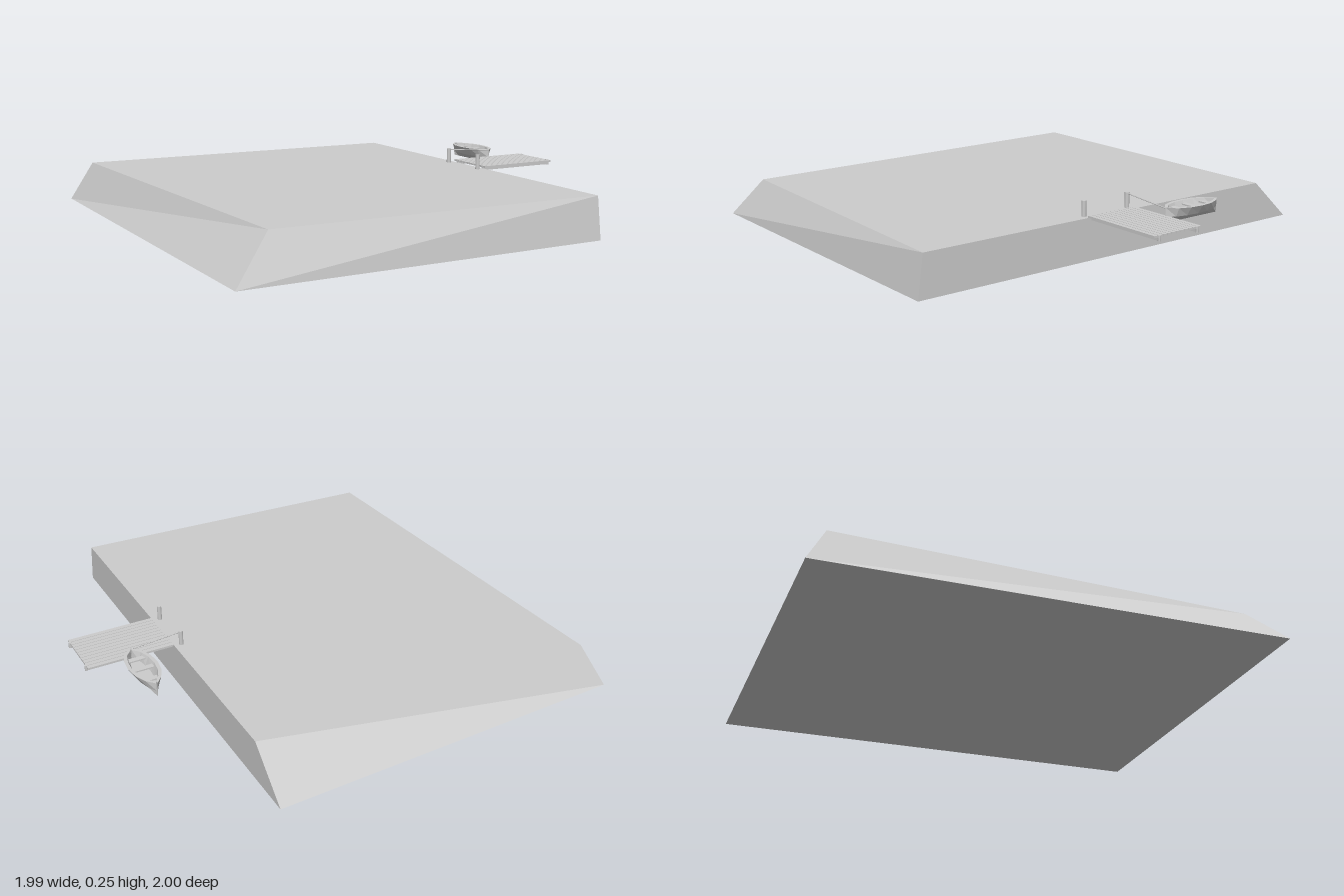
import * as THREE from 'three';

const grey = new THREE.MeshStandardMaterial({ color: 0xcccccc });
grey.name = 'plain grey';

function add(parent, name, geometry, x = 0, y = 0, z = 0) {
  const mesh = new THREE.Mesh(geometry, grey);
  mesh.name = name;
  mesh.position.set(x, y, z);
  parent.add(mesh);
  return mesh;
}

// Flat-faced skin from closed rings of [x, y, z] points
function loft(rings, caps = false) {
  const out = [];
  const tri = (...p) => p.forEach((v) => out.push(...v));
  const n = rings[0].length;
  for (let s = 0; s < rings.length - 1; s++) {
    for (let j = 0; j < n; j++) {
      const k = (j + 1) % n;
      const a = rings[s][j], b = rings[s][k], c = rings[s + 1][k], d = rings[s + 1][j];
      tri(a, b, c);
      tri(a, c, d);
    }
  }
  if (caps) {
    const first = rings[0], last = rings[rings.length - 1];
    for (let j = 1; j < n - 1; j++) {
      tri(first[0], first[j + 1], first[j]);
      tri(last[0], last[j], last[j + 1]);
    }
  }
  const g = new THREE.BufferGeometry();
  g.setAttribute('position', new THREE.Float32BufferAttribute(out, 3));
  g.computeVertexNormals();
  return g;
}

// Thin straight rod between two points
function rod(parent, name, from, to, radius) {
  const curve = new THREE.LineCurve3(new THREE.Vector3(...from), new THREE.Vector3(...to));
  add(parent, name, new THREE.TubeGeometry(curve, 1, radius, 6));
}

function createLand() {
  // Corners run front left, front right, back right, back left
  const base = [[-1, 0, 1], [0.6, 0, 1], [0.6, 0, -1], [-1, 0, -0.945]];
  const top = [[-0.835, 0.18, 0.915], [0.6, 0.18, 0.975], [0.6, 0.18, -0.8], [-0.915, 0.18, -0.86]];
  // Start from the back left so the twisted back slope folds base-left to top-right
  const flip = (r) => [r[3], r[0], r[1], r[2]];
  const g = loft([flip(base), flip(top)], true);
  const p = g.attributes.position;
  // Refold the back quad (fourth side, six vertices)
  const fold = [base[2], base[3], top[2], base[3], top[3], top[2]];
  fold.forEach((v, i) => p.setXYZ(18 + i, ...v));
  g.computeVertexNormals();
  return g;
}

function createDock() {
  const dock = new THREE.Group();
  dock.name = 'dock';
  // Planks laid side by side
  const count = 11, pitch = 0.25 / count;
  for (let i = 0; i < count; i++) {
    const z = -0.05 + pitch * (i + 0.5);
    add(dock, 'plank', new THREE.BoxGeometry(0.38, 0.008, pitch - 0.003), 0.795, 0.187, z);
  }
  // Beams under the deck and short corner piles
  for (const z of [-0.025, 0.175]) {
    add(dock, 'beam', new THREE.BoxGeometry(0.385, 0.013, 0.012), 0.7975, 0.1765, z);
    add(dock, 'pile', new THREE.CylinderGeometry(0.007, 0.007, 0.024, 8), 0.985, 0.18, z);
  }
  // Mooring posts on the shore
  for (const z of [-0.043, 0.19]) {
    add(dock, 'mooringPost', new THREE.CylinderGeometry(0.01, 0.01, 0.068, 8), 0.568, 0.212, z);
  }
  return dock;
}

function createBoat() {
  const boat = new THREE.Group();
  boat.name = 'boat';
  // [position along the length, half width at the gunwale]
  const stations = [[-1, 0.003], [-0.75, 0.034], [-0.4, 0.056], [0, 0.064], [0.4, 0.058], [0.75, 0.04], [1, 0.003]];
  const rings = stations.map(([t, w]) => {
    const z = t * 0.145;
    const inner = z * 0.9;
    const half = [[w * 0.5, 0.186, inner], [w * 0.76, 0.225, inner], [w, 0.225, z], [w * 0.64, 0.188, z]];
    const left = half.map(([x, y, d]) => [-x, y, d]);
    return [...left, [0, 0.163, z], ...half.reverse()];
  });
  add(boat, 'hull', loft(rings, true));
  // Seats across the hull
  for (const [z, w] of [[-0.085, 0.06], [0.0, 0.088], [0.075, 0.07]]) {
    add(boat, 'seat', new THREE.BoxGeometry(w, 0.006, 0.024), 0, 0.211, z);
  }
  boat.position.set(0.797, 0, -0.185);
  return boat;
}

export function createModel() {
  const model = new THREE.Group();
  model.name = 'shoreWithDock';
  add(model, 'land', createLand());
  model.add(createDock(), createBoat());
  rod(model, 'mooringRope', [0.568, 0.241, -0.043], [0.797, 0.222, -0.043], 0.0025);
  return model;
}
